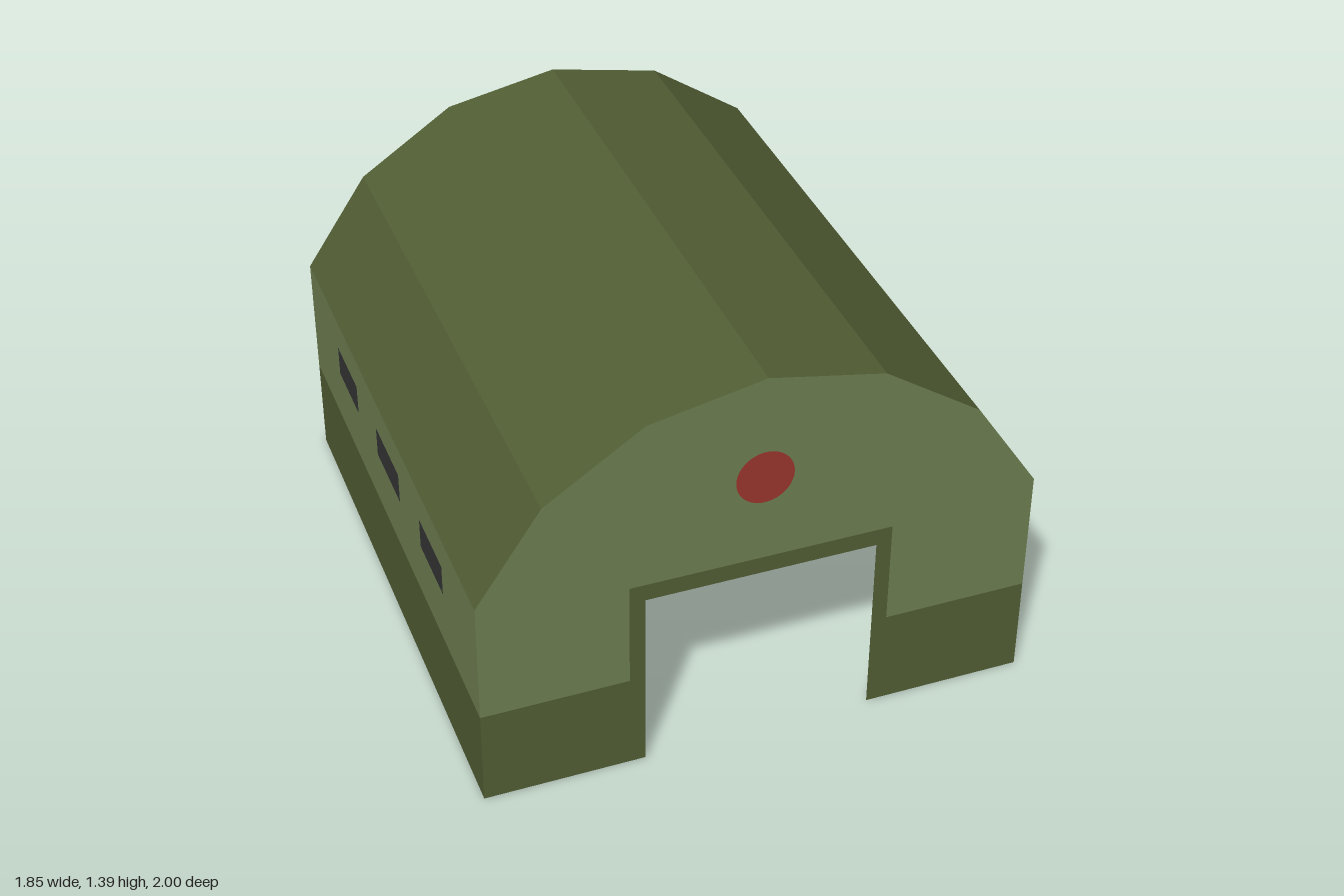
import * as THREE from 'three';

const paint = (color) => new THREE.MeshStandardMaterial({ color, flatShading: true, side: THREE.DoubleSide });

const R = 1, CY = 0.39, HALF_LEN = 1;          // roof arc and half length
const DOOR_W = 0.385, DOOR_H = 0.655;          // half width and height of the doorway
const TRIM_W = 0.437, TRIM_H = 0.715;          // outer edge of the door trim
const BAND = 0.342;                            // top of the dark lower band

// Seven-point roof arc from right eave (+x) to left eave, in 22.5 degree steps
const arc = Array.from({ length: 7 }, (_, i) => {
  const a = (i + 1) * Math.PI / 8;
  return new THREE.Vector2(R * Math.cos(a), CY + R * Math.sin(a));
});
const EAVE_X = arc[0].x, EAVE_Y = arc[0].y;

const poly = (pts) => new THREE.Shape(pts.map((p) => new THREE.Vector2(p[0], p[1])));
const rect = (x0, y0, x1, y1) => poly([[x0, y0], [x1, y0], [x1, y1], [x0, y1]]);

export function createModel() {
  const dark = paint(0x525f35), light = paint(0x6f8052);
  const glass = paint(0x363636), red = paint(0x9b372d);
  const model = new THREE.Group();
  model.name = 'hangar';

  const panel = (parent, name, shapes, material) => {
    const mesh = new THREE.Mesh(new THREE.ShapeGeometry(shapes, 24), material);
    mesh.name = name;
    parent.add(mesh);
  };

  // Faceted roof: one flat strip per arc segment
  const pos = [];
  for (let i = 0; i < arc.length - 1; i++) {
    const a = arc[i], b = arc[i + 1], z = HALF_LEN;
    pos.push(a.x, a.y, z, a.x, a.y, -z, b.x, b.y, -z);
    pos.push(a.x, a.y, z, b.x, b.y, -z, b.x, b.y, z);
  }
  const roofGeo = new THREE.BufferGeometry();
  roofGeo.setAttribute('position', new THREE.Float32BufferAttribute(pos, 3));
  roofGeo.computeVertexNormals();
  const roof = new THREE.Mesh(roofGeo, dark);
  roof.name = 'roof';
  model.add(roof);

  // End walls, each with a doorway, trim, lower band and round marker
  for (const s of [1, -1]) {
    const end = new THREE.Group();
    end.name = s > 0 ? 'frontWall' : 'backWall';

    const upper = poly([
      ...arc.map((p) => [p.x, p.y]),
      [-EAVE_X, BAND], [-TRIM_W, BAND], [-TRIM_W, TRIM_H],
      [TRIM_W, TRIM_H], [TRIM_W, BAND], [EAVE_X, BAND],
    ]);
    const disc = new THREE.Shape().absarc(0, 1.025, 0.095, 0, Math.PI * 2);
    upper.holes.push(disc);
    panel(end, 'upperWall', upper, light);
    panel(end, 'roundMarker', disc, red);

    panel(end, 'lowerBandAndDoorTrim', poly([
      [-EAVE_X, 0], [-DOOR_W, 0], [-DOOR_W, DOOR_H], [DOOR_W, DOOR_H], [DOOR_W, 0], [EAVE_X, 0],
      [EAVE_X, BAND], [TRIM_W, BAND], [TRIM_W, TRIM_H],
      [-TRIM_W, TRIM_H], [-TRIM_W, BAND], [-EAVE_X, BAND],
    ]), dark);

    end.position.z = s * HALF_LEN;
    end.rotation.y = s > 0 ? 0 : Math.PI;
    model.add(end);
  }

  // Side walls, each with a lower band and three flush windows
  for (const s of [1, -1]) {
    const side = new THREE.Group();
    side.name = s > 0 ? 'leftWall' : 'rightWall';

    const wall = rect(-HALF_LEN, BAND, HALF_LEN, EAVE_Y);
    const windows = [[-0.637, -0.387], [-0.137, 0.137], [0.383, 0.633]]
      .map(([a, b]) => rect(a, 0.545, b, 0.655));
    wall.holes.push(...windows);
    panel(side, 'upperWall', wall, light);
    panel(side, 'windows', windows, glass);
    panel(side, 'lowerBand', rect(-HALF_LEN, 0, HALF_LEN, BAND), dark);

    side.position.x = s * EAVE_X;
    side.rotation.y = s * Math.PI / 2;
    model.add(side);
  }
  return model;
}
